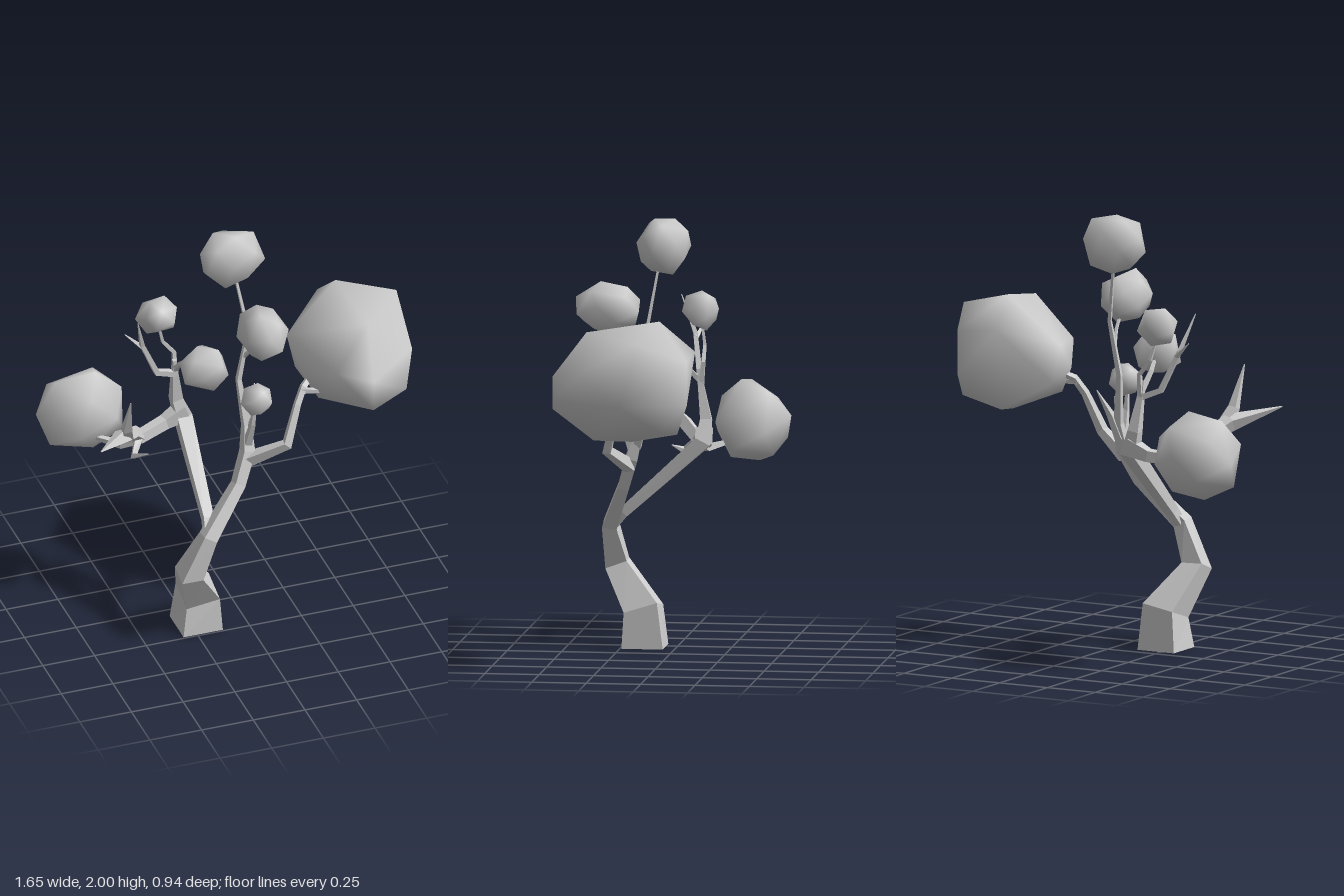
import * as THREE from 'three';
import { mergeVertices } from 'three/addons/utils/BufferGeometryUtils.js';
import { ConvexGeometry } from 'three/addons/geometries/ConvexGeometry.js';

const bark = new THREE.MeshStandardMaterial({ color: 0xcccccc, flatShading: true, side: THREE.DoubleSide });
const leaf = new THREE.MeshStandardMaterial({ color: 0xcccccc });

// Square-section tapered limb through nodes [x, y, z, halfWidth]
function limb(name, nodes) {
  const p = nodes.map(n => new THREE.Vector3(n[0], n[1], n[2]));
  const last = p.length - 1;
  const first = p[1].clone().sub(p[0]).normalize();
  const ref = Math.abs(first.x) > 0.75 ? new THREE.Vector3(0, 0, 1) : new THREE.Vector3(1, 0, 0);
  const pos = [], idx = [];
  p.forEach((c, i) => {
    const t = new THREE.Vector3();
    if (i > 0) t.add(c.clone().sub(p[i - 1]).normalize());
    if (i < last) t.add(p[i + 1].clone().sub(c).normalize());
    t.normalize();
    if (c.y === 0) t.set(0, 1, 0);
    const u = ref.addScaledVector(t, -ref.dot(t)).normalize().clone();
    const v = t.clone().cross(u);
    for (let k = 0; k < 4; k++) {
      const a = Math.PI / 4 + k * Math.PI / 2, r = nodes[i][3] * Math.SQRT2;
      const q = c.clone().addScaledVector(u, r * Math.cos(a)).addScaledVector(v, r * Math.sin(a));
      pos.push(q.x, q.y, q.z);
      if (i < last) {
        const A = i * 4 + k, B = i * 4 + (k + 1) % 4;
        idx.push(A, B, B + 4, A, B + 4, A + 4);
      }
    }
  });
  const e = last * 4;
  idx.push(0, 2, 1, 0, 3, 2, e, e + 1, e + 2, e, e + 2, e + 3);
  const g = new THREE.BufferGeometry();
  g.setAttribute('position', new THREE.Float32BufferAttribute(pos, 3));
  g.setIndex(idx);
  const flat = g.toNonIndexed();
  flat.computeVertexNormals();
  const mesh = new THREE.Mesh(flat, bark);
  mesh.name = name;
  return mesh;
}

// Smooth-shaded faceted hull
function hull(name, points) {
  let g = new ConvexGeometry(points);
  g.deleteAttribute('normal');
  g = mergeVertices(g, 1e-4);
  g.computeVertexNormals();
  const mesh = new THREE.Mesh(g, leaf);
  mesh.name = name;
  return mesh;
}

// Uneven clump of leaves filling the box with this centre and these half sizes
function clump(name, centre, half, seed, count = 18) {
  const pts = [];
  for (let i = 0; i < count; i++) {
    const y = 1 - 2 * (i + 0.5) / count, r = Math.sqrt(1 - y * y), a = i * 2.39996 + seed;
    const k = 1 + 0.06 * Math.sin(i * 5.3 + seed * 3);
    pts.push(new THREE.Vector3(r * Math.cos(a) * k, y * k, r * Math.sin(a) * k));
  }
  const box = new THREE.Box3().setFromPoints(pts);
  const mid = box.getCenter(new THREE.Vector3()), size = box.getSize(new THREE.Vector3());
  const c = new THREE.Vector3(...centre), h = new THREE.Vector3(...half);
  pts.forEach(q => q.sub(mid).divide(size).multiplyScalar(2).multiply(h).add(c));
  return hull(name, pts);
}

export function createModel() {
  const tree = new THREE.Group();
  tree.name = 'tree';

  const limbs = {
    // Trunk and the stem rising to the top clump
    trunk: [[-0.222, 0, 0.147, 0.095], [-0.217, 0.175, 0.153, 0.08], [-0.305, 0.37, 0.285, 0.052],
      [-0.22, 0.56, 0.305, 0.034], [-0.045, 0.76, 0.22, 0.026], [0.015, 0.9, 0.175, 0.028],
      [0.022, 1.02, 0.14, 0.018], [-0.003, 1.25, 0.105, 0.011], [0.045, 1.5, 0.1, 0.008], [-0.005, 1.8, 0.05, 0.005]],
    upperFrontTwig: [[0.025, 1.37, 0.105, 0.008], [0.05, 1.45, 0.17, 0.006], [0.06, 1.55, 0.25, 0.005]],
    smallClumpStem: [[0.015, 0.93, 0.17, 0.018], [0.025, 1.07, 0.22, 0.01], [0.03, 1.2, 0.24, 0.005]],
    innerSpike: [[0.02, 0.95, 0.15, 0.018], [0.05, 1.06, 0.12, 0.014], [0.09, 1.18, 0.06, 0.002]],
    innerSpur: [[0.03, 1.0, 0.16, 0.012], [0.06, 1.14, 0.17, 0.002]],
    // Left branch to the big clump
    leftBranch: [[0.01, 0.86, 0.185, 0.026], [0.175, 0.955, 0.265, 0.02], [0.24, 1.13, 0.22, 0.014],
      [0.28, 1.2, 0.19, 0.013], [0.4, 1.27, 0.1, 0.006]],
    leftTwig: [[0.265, 1.185, 0.195, 0.012], [0.4, 1.17, 0.22, 0.006]],
    // Rear branch
    rearBranch: [[-0.215, 0.55, 0.295, 0.02], [-0.2, 0.62, 0.24, 0.024], [-0.19, 0.95, -0.125, 0.036],
      [-0.22, 1.05, -0.135, 0.026], [-0.235, 1.2, -0.11, 0.014], [-0.24, 1.28, -0.1, 0.009]],
    backClumpStem: [[-0.235, 1.2, -0.11, 0.012], [-0.235, 1.31, -0.12, 0.009], [-0.29, 1.38, -0.12, 0.007], [-0.32, 1.5, -0.1, 0.005]],
    middleClumpStem: [[-0.235, 1.22, -0.11, 0.011], [-0.24, 1.31, -0.02, 0.008], [-0.19, 1.37, 0.12, 0.005]],
    highSpike: [[-0.23, 1.2, -0.11, 0.014], [-0.33, 1.24, -0.09, 0.013], [-0.41, 1.42, -0.06, 0.01], [-0.455, 1.59, 0.01, 0.002]],
    highSpur: [[-0.4, 1.4, -0.065, 0.011], [-0.48, 1.47, -0.1, 0.002]],
    // Right branch with forked spikes and the low clump
    rightBranch: [[-0.18, 0.98, -0.13, 0.04], [-0.28, 0.94, -0.12, 0.026], [-0.42, 0.92, -0.07, 0.024],
      [-0.5, 0.88, -0.1, 0.016], [-0.65, 0.9, -0.22, 0.006]],
    rightFork: [[-0.42, 0.92, -0.08, 0.024], [-0.48, 1.0, 0, 0.026], [-0.57, 1.08, 0.13, 0.03], [-0.74, 1.14, 0.31, 0.002]],
    rightSpike: [[-0.54, 1.05, 0.1, 0.025], [-0.565, 1.14, 0.17, 0.02], [-0.575, 1.33, 0.25, 0.002]],
    rightSpur: [[-0.42, 0.93, -0.07, 0.018], [-0.47, 0.87, 0, 0.014], [-0.42, 0.9, 0.05, 0.002]],
  };
  for (const [name, nodes] of Object.entries(limbs)) tree.add(limb(name, nodes));

  // Big leaning clump on the left
  const big = [
    [0.26, 1.38, 0.02], [0.51, 1.6, -0.02], [0.78, 1.53, 0.05], [0.82, 1.24, 0.12], [0.48, 1.46, -0.18],
    [0.69, 1.24, -0.17], [0.69, 1.25, 0.44], [0.52, 1.34, 0.47], [0.52, 1.19, 0.47], [0.55, 1.55, 0.31],
    [0.55, 1.05, 0.1], [0.35, 1.13, 0.2], [0.73, 1.12, -0.05], [0.6, 1.06, 0.27], [0.5, 1.08, -0.1],
    [0.29, 1.25, 0.18], [0.76, 1.38, 0.32], [0.3, 1.2, 0.02], [0.69, 1.44, -0.17], [0.38, 1.35, 0.36],
  ].map(q => new THREE.Vector3(...q));
  tree.add(hull('bigClump', big));

  tree.add(
    clump('rightClump', [-0.63, 0.995, -0.3], [0.2, 0.195, 0.175], 0.6),
    clump('topClump', [-0.01, 1.87, 0.04], [0.15, 0.13, 0.122], 1.4),
    clump('upperFrontClump', [0.058, 1.59, 0.28], [0.108, 0.122, 0.148], 2.3),
    clump('backClump', [-0.325, 1.535, -0.1], [0.096, 0.088, 0.083], 3.1, 15),
    clump('middleClump', [-0.185, 1.375, 0.145], [0.106, 0.104, 0.096], 4.0, 15),
    clump('smallClump', [0.033, 1.207, 0.24], [0.072, 0.076, 0.072], 5.2, 14),
  );
  return tree;
}
